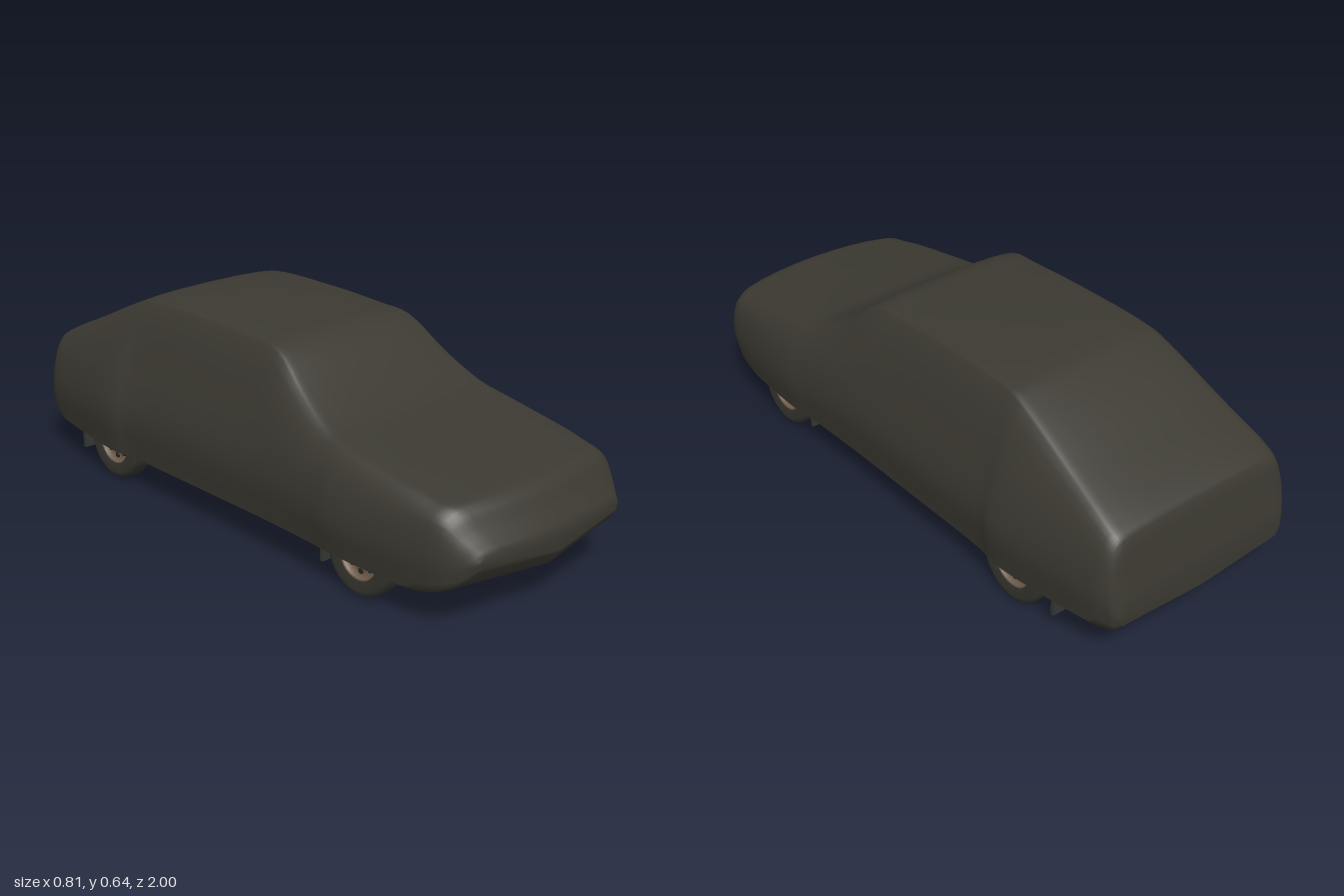
import * as THREE from 'three';

const mat = (name, color, side = THREE.FrontSide) => {
  const m = new THREE.MeshStandardMaterial({ color, side });
  m.name = name;
  return m;
};

export function createModel() {
  const car = new THREE.Group();
  car.name = 'coveredCar';
  const cloth = mat('coverCloth', 0x3b3931, THREE.DoubleSide);
  const black = mat('underbodyBlack', 0x242724);
  const steel = mat('chassisGrey', 0x343733);
  const rubber = mat('tyreRubber', 0x35342e);
  const rimTan = mat('rimTan', 0x75604f);
  const rust = mat('exhaustRust', 0x693f2d);
  const maroon = mat('floorMaroon', 0x40211b);
  const sillTan = mat('sillTan', 0x7d6653);

  const add = (name, geo, material, x = 0, y = 0, z = 0, parent = car) => {
    const m = new THREE.Mesh(geo, material);
    m.name = name;
    m.position.set(x, y, z);
    parent.add(m);
  };
  const box = (name, w, h, d, material, x, y, z) =>
    add(name, new THREE.BoxGeometry(w, h, d), material, x, y, z);
  const pipe = (name, pts, r, material) => add(name, new THREE.TubeGeometry(
    new THREE.CatmullRomCurve3(pts.map(p => new THREE.Vector3(...p)), false, 'catmullrom', 0.2),
    pts.length * 8, r, 8), material);

  // Cloth cover: z, top height, top half-width, shoulder height, belly half-width, hem height
  const stations = [
    [0.998, 0.245, 0.25, 0.235, 0.30, 0.20],
    [0.962, 0.30, 0.29, 0.27, 0.34, 0.15],
    [0.92, 0.358, 0.315, 0.31, 0.365, 0.125],
    [0.82, 0.378, 0.33, 0.32, 0.38, 0.105],
    [0.5, 0.432, 0.34, 0.34, 0.405, 0.11],
    [0.4, 0.457, 0.33, 0.36, 0.398, 0.11],
    [0.27, 0.53, 0.305, 0.40, 0.393, 0.11],
    [0.14, 0.622, 0.28, 0.42, 0.39, 0.11],
    [0.02, 0.634, 0.275, 0.42, 0.39, 0.11],
    [-0.2, 0.642, 0.275, 0.42, 0.39, 0.11],
    [-0.48, 0.636, 0.275, 0.42, 0.393, 0.11],
    [-0.55, 0.613, 0.28, 0.42, 0.404, 0.11],
    [-0.75, 0.52, 0.295, 0.39, 0.386, 0.112],
    [-0.93, 0.435, 0.31, 0.35, 0.362, 0.12],
    [-0.962, 0.41, 0.305, 0.33, 0.35, 0.122],
    [-0.982, 0.31, 0.30, 0.27, 0.34, 0.125],
    [-0.998, 0.21, 0.28, 0.20, 0.32, 0.14],
  ];
  const { lerp, clamp, smoothstep } = THREE.MathUtils;
  const around = 40, rowsPer = 4;
  const rings = stations.map(([z, top, xe, ys, xb, hem]) => {
    const crown = 0.022 * clamp((top - 0.2) / 0.2, 0, 1);
    const half = [[xe * 0.88, top - crown * 0.45], [xe, top - crown], [lerp(xe, xb, 0.68), ys],
      [xb, lerp(hem, ys, 0.48)], [xb * 0.955, hem]];
    const pts = [...half.map(([x, y]) => [-x, y]).reverse(), [0, top], ...half];
    const curve = new THREE.CatmullRomCurve3(pts.map(([x, y]) => new THREE.Vector3(x, y, z)));
    const ring = Array.from({ length: around + 1 }, (_, i) => curve.getPoint(i / around));
    ring.push(new THREE.Vector3(0, hem - 0.02, z));
    return ring;
  });
  const cols = around + 2, rows = (stations.length - 1) * rowsPer;
  const lines = Array.from({ length: cols }, (_, i) =>
    new THREE.CatmullRomCurve3(rings.map(r => r[i])));
  const grid = Array.from({ length: rows + 1 }, (_, j) => lines.map(line => {
    const p = line.getPoint(j / rows);
    // the nose is bowed in plan
    p.z -= 0.045 * smoothstep(p.z, 0.7, 0.96) * (p.x / 0.33) ** 2;
    return p;
  }));
  // both ends close on a level seam
  const seam = (row, y) => row.map(p => new THREE.Vector3(p.x, y, p.z));
  grid.unshift(seam(grid[0], 0.222));
  grid.push(seam(grid[rows + 1], 0.175));
  const index = [];
  for (let j = 0; j < rows + 2; j++) {
    // the underside is closed only beneath the nose and tail
    const closed = j <= rowsPer * 3 || j > rowsPer * 13;
    for (let i = 0; i < cols; i++) {
      if (i >= around && !closed) continue;
      const a = j * cols + i, b = j * cols + (i + 1) % cols;
      index.push(a, b, a + cols, b, b + cols, a + cols);
    }
  }
  const cover = new THREE.BufferGeometry().setFromPoints(grid.flat());
  cover.setIndex(index);
  cover.computeVertexNormals();
  add('clothCover', cover, cloth);

  // Floor pan with wheel cut-outs
  const edge = [[0.31, 0.84], [0.34, 0.73], [0.25, 0.73], [0.25, 0.43], [0.345, 0.43],
    [0.345, -0.45], [0.25, -0.45], [0.25, -0.75], [0.34, -0.75], [0.32, -0.95]];
  const outline = [...edge, ...edge.map(([x, z]) => [-x, z]).reverse()];
  const floor = new THREE.ExtrudeGeometry(
    new THREE.Shape(outline.map(([x, z]) => new THREE.Vector2(x, z))),
    { depth: 0.012, bevelEnabled: false });
  floor.rotateX(Math.PI / 2);
  add('floorPan', floor, black, 0, 0.142, 0);

  // Wheels, arch liners, mudflaps
  const lathe = pts => new THREE.LatheGeometry(pts.map(p => new THREE.Vector2(...p)), 28);
  const tyre = lathe([[0.075, -0.034], [0.105, -0.04], [0.119, -0.034], [0.125, -0.022],
    [0.125, 0.022], [0.119, 0.034], [0.105, 0.04], [0.075, 0.034]]);
  const rim = lathe([[0, -0.02], [0.07, -0.02], [0.078, -0.034], [0.078, 0.034],
    [0.07, 0.03], [0.062, 0.014], [0.035, 0.024], [0.02, 0.026], [0, 0.026]]);
  const slot = new THREE.CylinderGeometry(0.009, 0.009, 0.008, 10);
  for (const z of [0.57, -0.6]) {
    for (const s of [1, -1]) {
      const wheel = new THREE.Group();
      wheel.name = (z > 0 ? 'front' : 'rear') + (s > 0 ? 'Left' : 'Right') + 'Wheel';
      wheel.position.set(s * 0.327, 0.125, z);
      wheel.rotation.z = -s * Math.PI / 2;
      car.add(wheel);
      add('tyre', tyre, rubber, 0, 0, 0, wheel);
      add('rim', rim, rimTan, 0, 0, 0, wheel);
      for (let k = 0; k < 8; k++) {
        const a = k * Math.PI / 4;
        add('rimSlot', slot, black, Math.cos(a) * 0.051, 0.018, Math.sin(a) * 0.051, wheel);
      }
      box('archLiner', 0.12, 0.01, 0.32, black, s * 0.31, 0.275, z);
      box('archInnerWall', 0.01, 0.14, 0.32, black, s * 0.25, 0.205, z);
      box('mudflap', 0.12, 0.07, 0.012, steel, s * 0.3, 0.09, z > 0 ? 0.42 : -0.775);
    }
  }

  // Chassis rails, sills, axles and arms
  for (const s of [1, -1]) {
    box('sill', 0.006, 0.07, 0.88, sillTan, s * 0.348, 0.167, -0.01);
    box('frontRail', 0.045, 0.025, 0.5, steel, s * 0.2, 0.12, 0.5);
    box('floorRib', 0.05, 0.015, 0.32, steel, s * 0.21, 0.124, -0.05);
    box('rearRail', 0.04, 0.02, 0.4, steel, s * 0.235, 0.121, -0.7);
    box('floorPanel', 0.16, 0.008, 0.2, maroon, s * 0.21, 0.127, 0.19);
    pipe('trailingArm', [[s * 0.27, 0.115, -0.58], [s * 0.12, 0.12, -0.4]], 0.014, steel);
    pipe('frontArm', [[s * 0.29, 0.11, 0.57], [s * 0.1, 0.11, 0.5]], 0.012, steel);
  }
  pipe('rearAxle', [[-0.3, 0.115, -0.6], [0.3, 0.115, -0.6]], 0.016, steel);
  box('frontCrossmember', 0.48, 0.03, 0.05, steel, 0, 0.096, 0.5);
  box('engineSump', 0.18, 0.03, 0.2, black, 0.02, 0.118, 0.66);
  box('gearbox', 0.11, 0.03, 0.2, steel, 0.02, 0.118, 0.36);
  box('midCrossmember', 0.6, 0.016, 0.04, steel, 0, 0.123, -0.34);
  box('tankPanel', 0.2, 0.012, 0.12, maroon, -0.1, 0.125, -0.5);
  box('tailPanel', 0.22, 0.012, 0.16, steel, -0.1, 0.125, -0.84);

  // Exhaust run with two silencers
  pipe('exhaustPipe', [[0.04, 0.118, 0.6], [0.15, 0.116, 0.58], [0.1, 0.114, 0.42], [0, 0.113, 0.22],
    [0, 0.113, -0.05], [-0.01, 0.113, -0.28], [0.13, 0.116, -0.48], [0.16, 0.125, -0.68],
    [0.16, 0.13, -0.94]], 0.013, rust);
  const silencer = (x, y, z, r, len) => {
    const g = new THREE.CylinderGeometry(r, r, len, 18);
    g.rotateX(Math.PI / 2);
    g.scale(1, 0.5, 1);
    add('silencer', g, rust, x, y, z);
  };
  silencer(0, 0.116, 0.07, 0.04, 0.24);
  silencer(0.16, 0.135, -0.83, 0.05, 0.2);

  return car;
}
